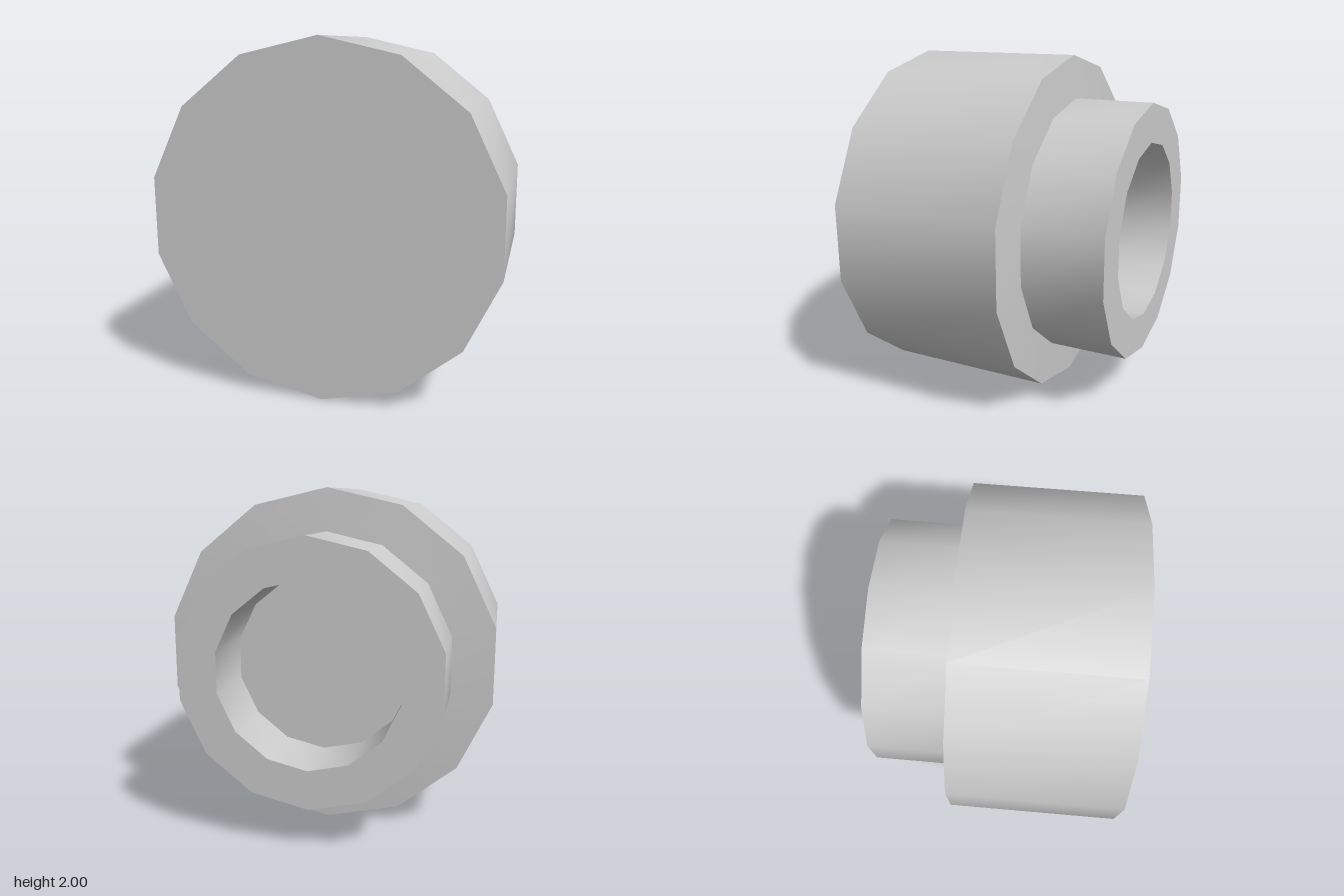
import * as THREE from 'three';
import { toCreasedNormals } from 'three/addons/utils/BufferGeometryUtils.js';

const SIDES = 14;

// Turns a [radius, z] profile around the z axis, smooth around and sharp at the rims
function turned(name, profile, material) {
  const points = profile.map(([r, z]) => new THREE.Vector2(r, z));
  const lathe = new THREE.LatheGeometry(points, SIDES);
  lathe.rotateX(Math.PI / 2);
  const mesh = new THREE.Mesh(toCreasedNormals(lathe, Math.PI / 5), material);
  mesh.name = name;
  mesh.position.y = 1;
  return mesh;
}

export function createModel() {
  const group = new THREE.Group();
  group.name = 'steppedKnob';
  const grey = new THREE.MeshStandardMaterial({ color: 0xcccccc });

  // Wide drum with a closed front and a slightly sloped back shoulder
  group.add(turned('body', [[0.752, -0.275], [1, -0.258], [1, 0.742], [0, 0.742]], grey));

  // Narrow rear collar with a blind round socket
  group.add(turned('collar', [[0, -0.35], [0.526, -0.35], [0.526, -0.742], [0.752, -0.742], [0.752, -0.275]], grey));

  return group;
}
